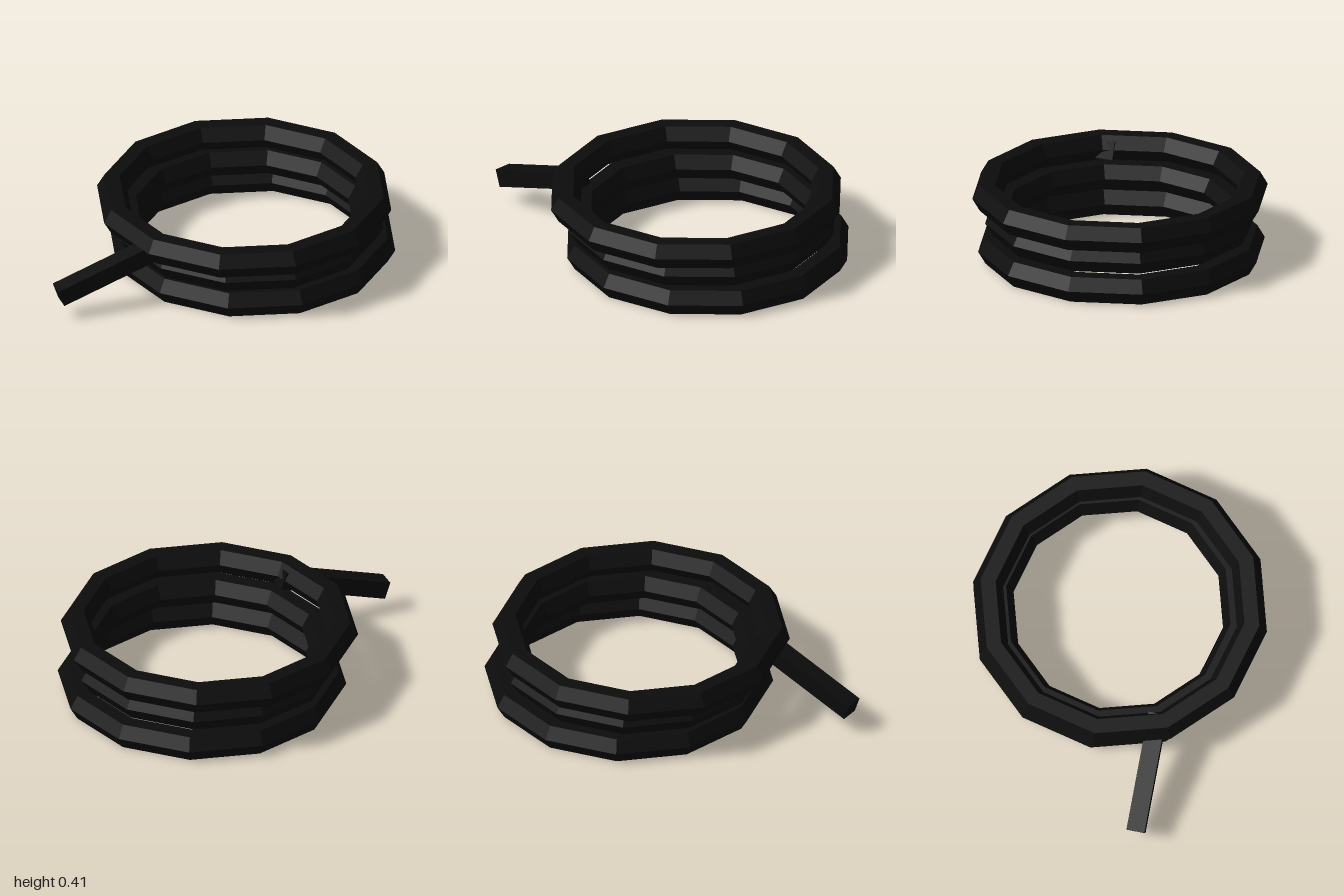
import * as THREE from 'three';

export function createModel() {
  const model = new THREE.Group();
  const black = new THREE.MeshStandardMaterial({ color: 0x0c0c0c });
  black.name = 'black rubber';
  black.flatShading = true;

  const add = (name, geometry) => {
    const mesh = new THREE.Mesh(geometry, black);
    mesh.name = name;
    model.add(mesh);
    return mesh;
  };

  // Three stacked coils: twelve-sided rings with a hexagonal section
  const tube = 0.08;
  const coils = [
    ['bottomCoil', 0.24, 0.0693, 0, 0.68],
    ['middleCoil', 0.207, 0.214, 0, 0.638],
    ['topCoil', 0.175, 0.3425, -0.002, 0.703],
  ];
  for (const [name, x, y, z, radius] of coils) {
    const ring = new THREE.TorusGeometry(radius, tube, 6, 12).rotateX(-Math.PI / 2);
    add(name, ring).position.set(x, y, z);
  }

  // Loose end: a square bar sloping down and out from the top coil
  const outer = new THREE.Vector3(-0.962, 0.135, -0.322);
  const inner = new THREE.Vector3(-0.452, 0.34, -0.015);
  const bar = add('looseEnd', new THREE.BoxGeometry(0.096, 0.096, outer.distanceTo(inner)));
  bar.position.copy(outer).add(inner).multiplyScalar(0.5);
  bar.lookAt(outer);

  return model;
}
